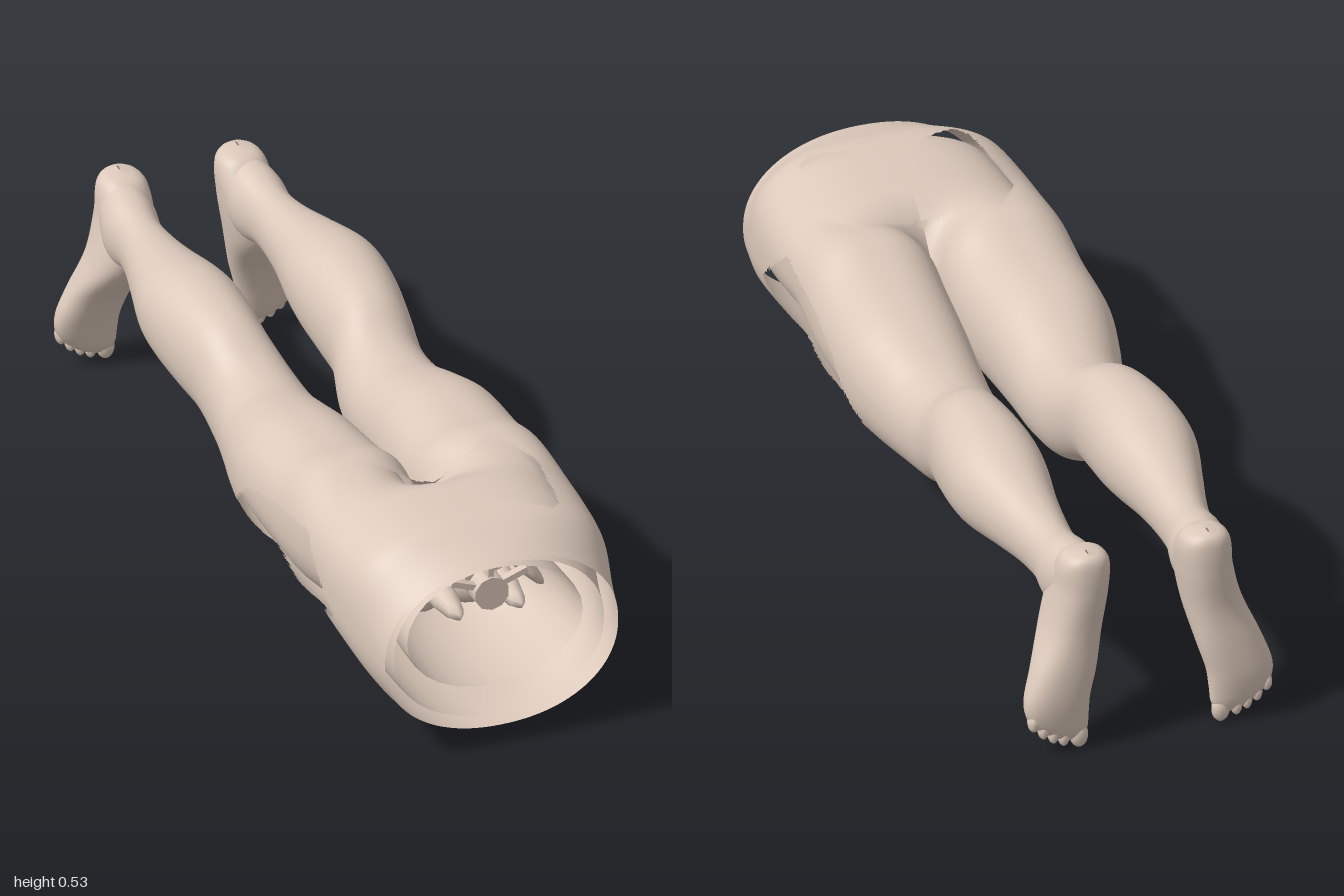
import * as THREE from 'three';
import { mergeVertices } from 'three/addons/utils/BufferGeometryUtils.js';

const skin = new THREE.MeshStandardMaterial({ color: 0xdcc9bb, side: THREE.DoubleSide });

// Outline keys along the body: [z, inner x, outer x, top y, bottom y]
const bodyKeys = [
  [1.0, 0, 0.285, 0.48, 0.05], [0.94, 0, 0.297, 0.502, 0.055], [0.87, 0, 0.312, 0.524, 0.078],
  [0.75, 0, 0.322, 0.526, 0.112], [0.62, 0, 0.325, 0.526, 0.14], [0.5, 0, 0.325, 0.522, 0.148],
  [0.38, 0.006, 0.325, 0.492, 0.158], [0.2, 0.02, 0.323, 0.48, 0.168], [0.1, 0.028, 0.305, 0.458, 0.175],
  [0, 0.034, 0.28, 0.436, 0.183], [-0.1, 0.046, 0.264, 0.452, 0.197], [-0.2, 0.068, 0.27, 0.5, 0.243],
  [-0.3, 0.066, 0.284, 0.52, 0.26], [-0.4, 0.064, 0.292, 0.525, 0.274], [-0.48, 0.07, 0.288, 0.515, 0.288],
  [-0.6, 0.09, 0.258, 0.49, 0.31], [-0.7, 0.1, 0.232, 0.472, 0.322], [-0.78, 0.103, 0.218, 0.468, 0.32],
  [-0.85, 0.09, 0.222, 0.482, 0.305], [-0.91, 0.09, 0.21, 0.49, 0.32],
];
// Foot keys downward from the heel: [-y, inner x, outer x, instep z, sole z]
const footKeys = [
  [-0.5, 0.143, 0.147, -0.94, -0.96], [-0.495, 0.11, 0.18, -0.9, -0.977], [-0.47, 0.088, 0.202, -0.87, -0.988],
  [-0.4, 0.086, 0.212, -0.82, -0.992], [-0.3, 0.1, 0.236, -0.822, -0.988], [-0.2, 0.122, 0.276, -0.887, -0.996],
  [-0.13, 0.141, 0.297, -0.915, -0.998], [-0.08, 0.146, 0.286, -0.93, -0.993], [-0.04, 0.152, 0.24, -0.942, -0.985],
  [-0.025, 0.175, 0.21, -0.955, -0.975],
];

// Smooth lookup in a key table
function at(keys, v) {
  const dir = Math.sign(keys[1][0] - keys[0][0]);
  let i = 0;
  while (i < keys.length - 2 && (v - keys[i + 1][0]) * dir > 0) i++;
  const a = keys[i], b = keys[i + 1], p = keys[Math.max(i - 1, 0)], q = keys[Math.min(i + 2, keys.length - 1)];
  const h = b[0] - a[0], t = (v - a[0]) / h;
  return [1, 2, 3, 4].map((c) => {
    const m0 = ((b[c] - p[c]) / (b[0] - p[0])) * h, m1 = ((q[c] - a[c]) / (q[0] - a[0])) * h;
    return (2 * t ** 3 - 3 * t * t + 1) * a[c] + (t ** 3 - 2 * t * t + t) * m0 + (3 * t * t - 2 * t ** 3) * b[c] + (t ** 3 - t * t) * m1;
  });
}
const oval = (c, n) => Math.sign(c) * Math.abs(c) ** (2 / n);

// One half of the body: a D-shaped half trunk that closes into a leg tube
function bodyPoint(z, t, k) {
  const [inner, outer, top, bottom] = at(bodyKeys, z);
  const blend = THREE.MathUtils.smoothstep(-z, -0.68, -0.44);
  const box = THREE.MathUtils.smoothstep(-z, -1, -0.85);
  const my = (top + bottom) / 2, ry = (top - bottom) / 2 * k;
  const a = Math.PI * (0.5 - t), b = Math.PI * (1 - 2 * t);
  const nA = 2.15 + box * (a > 0 ? 0.75 : 0.15);
  const cx = (inner + outer) / 2, rx = (outer - inner) / 2 * k;
  const nB = 2.15 + (b > 0 && z > 0 ? z * 0.8 : 0);
  const trunkX = outer * k * Math.max(oval(Math.cos(a), nA), 0), trunkY = my + ry * oval(Math.sin(a), nA);
  const legX = cx + rx * oval(Math.cos(b), nB), legY = my + ry * oval(Math.sin(b), nB);
  const x = THREE.MathUtils.lerp(trunkX, legX, blend);
  return [t === 0 || t === 1 ? x * blend : x, THREE.MathUtils.lerp(trunkY, legY, blend), z];
}

// Windows cut in the outer layer
const sideWindow = [[0.77, 0.28], [0.61, 0.42], [0.42, 0.395], [0.27, 0.35], [0.14, 0.24], [0.26, 0.18], [0.5, 0.2], [0.62, 0.21]];
const backWindow = [[-0.01, 0.75], [0.09, 0.83], [0.175, 0.872], [0.205, 0.845], [0.235, 0.62], [0.17, 0.515], [0.03, 0.575], [-0.01, 0.61]];
function inside(poly, u, v) {
  let hit = false;
  poly.forEach(([x1, y1], i) => {
    const [x2, y2] = poly[(i + 1) % poly.length];
    if (y1 > v !== y2 > v && u < ((x2 - x1) * (v - y1)) / (y2 - y1) + x1) hit = !hit;
  });
  return hit;
}
const cutOut = (x, y, z) => (x > 0.19 && inside(sideWindow, z, y)) || (y > 0.36 && inside(backWindow, x, z));

// Grid surface from point(u, v), on each listed side, skipping cut faces
function surface(name, point, rows, cols, sides, cut) {
  const pos = [], index = [];
  for (const s of sides) {
    const base = pos.length / 3;
    for (let i = 0; i <= rows; i++)
      for (let j = 0; j <= cols; j++) {
        const [x, y, z] = point(i / rows, j / cols);
        pos.push(x * s, y, z);
      }
    const tri = (a, b, c) => {
      const mid = [0, 1, 2].map((n) => (pos[a * 3 + n] + pos[b * 3 + n] + pos[c * 3 + n]) / 3);
      if (cut && cut(Math.abs(mid[0]), mid[1], mid[2])) return;
      if (s > 0) index.push(a, b, c); else index.push(a, c, b);
    };
    for (let i = 0; i < rows; i++)
      for (let j = 0; j < cols; j++) {
        const a = base + i * (cols + 1) + j, c = a + cols + 1;
        tri(a, a + 1, c);
        tri(a + 1, c + 1, c);
      }
  }
  let geo = new THREE.BufferGeometry();
  geo.setAttribute('position', new THREE.Float32BufferAttribute(pos, 3));
  geo.setIndex(index);
  geo = mergeVertices(geo, 1e-4);
  geo.computeVertexNormals();
  const mesh = new THREE.Mesh(geo, skin);
  mesh.name = name;
  return mesh;
}

function ball(name, p, r, tilt = 0, detail = 16) {
  const mesh = new THREE.Mesh(new THREE.SphereGeometry(1, detail, Math.ceil(detail * 0.7)), skin);
  mesh.name = name;
  mesh.position.set(...p);
  mesh.scale.set(...r);
  mesh.rotation.z = tilt;
  return mesh;
}

export function createModel() {
  const model = new THREE.Group();
  model.name = 'lowerBody';
  const layer = (name, k, z0, z1, rows, cols, cut) =>
    model.add(surface(name, (u, v) => bodyPoint(z0 + (z1 - z0) * u, v, k), rows, cols, [1, -1], cut));

  // Outer skin with windows, and the muscle layer beneath
  layer('outerSkin', 1, 1, -0.91, 190, 84, cutOut);
  layer('muscleLayer', 0.89, 0.985, 0.06, 50, 40);

  // Inner cavity lining, a bowl narrowing toward the pelvic floor
  model.add(surface('cavityLining', (u, v) => {
    const a = v * Math.PI * 2, r = Math.sqrt(1 - (u * 0.98) ** 2.6);
    return [0.215 * r * Math.cos(a), 0.285 + 0.152 * r * Math.sin(a), 0.96 - 0.42 * u];
  }, 12, 28, [1]));

  // Spine and sacrum
  const bone = (name, geo, x, y, z) => {
    const mesh = new THREE.Mesh(geo, skin);
    mesh.name = name;
    mesh.position.set(x, y, z);
    model.add(mesh);
    return mesh;
  };
  for (let i = 0; i < 3; i++) {
    const z = 0.92 - i * 0.065;
    bone('vertebra', new THREE.CylinderGeometry(0.042, 0.042, 0.045, 10), 0, 0.36, z).rotation.x = Math.PI / 2;
    bone('spinousProcess', new THREE.BoxGeometry(0.014, 0.06, 0.035), 0, 0.415, z);
    for (const s of [1, -1])
      bone('transverseProcess', new THREE.BoxGeometry(0.07, 0.014, 0.02), s * 0.06, 0.385, z).rotation.z = s * 0.35;
  }
  const sacrum = bone('sacrum', new THREE.CylinderGeometry(0.08, 0.025, 0.18, 8), 0, 0.395, 0.68);
  sacrum.rotation.x = Math.PI / 2;
  sacrum.scale.z = 0.4;

  for (const s of [1, -1]) {
    // Hip bone wing and muscle beside the spine
    const wing = ball('hipBoneWing', [s * 0.135, 0.33, 0.74], [0.02, 0.09, 0.11], s * 0.7, 12);
    model.add(wing, ball('spineMuscle', [s * 0.075, 0.31, 0.76], [0.035, 0.035, 0.18], 0, 12));
    model.add(ball('pelvicFloorLobe', [s * 0.058, 0.235, 0.62], [0.062, 0.065, 0.09]));

    // Foot, sole turned to the rear and toes pointing down
    const foot = new THREE.Group();
    foot.name = s > 0 ? 'leftFoot' : 'rightFoot';
    foot.add(surface('footBody', (u, v) => {
      const h = -0.5 + 0.475 * u ** 1.3, a = -v * Math.PI * 2;
      const [x0, x1, z0, z1] = at(footKeys, h);
      return [(x0 + x1) / 2 + (x1 - x0) / 2 * oval(Math.cos(a), 2.3), -h, (z0 + z1) / 2 + (z0 - z1) / 2 * oval(Math.sin(a), 2.3)];
    }, 44, 32, [s]));
    [[0.17, 0.033, 0.022, 0.033], [0.207, 0.037, 0.014, 0.027], [0.232, 0.047, 0.013, 0.026],
      [0.256, 0.062, 0.013, 0.025], [0.279, 0.085, 0.014, 0.025]].forEach(([x, y, r, len]) =>
      foot.add(ball('toe', [s * x, y, -0.968], [r, len, 0.019], 0, 12)));
    model.add(foot);

    // Paired soft forms under the pelvis
    model.add(ball('groinForm', [s * 0.024, 0.13, 0.535], [0.032, 0.038, 0.05]));
  }
  // Central soft form under the pelvis
  const front = ball('groinFold', [0, 0.118, 0.56], [0.025, 0.028, 0.09]);
  front.rotation.x = -0.4;
  model.add(front);

  return model;
}
